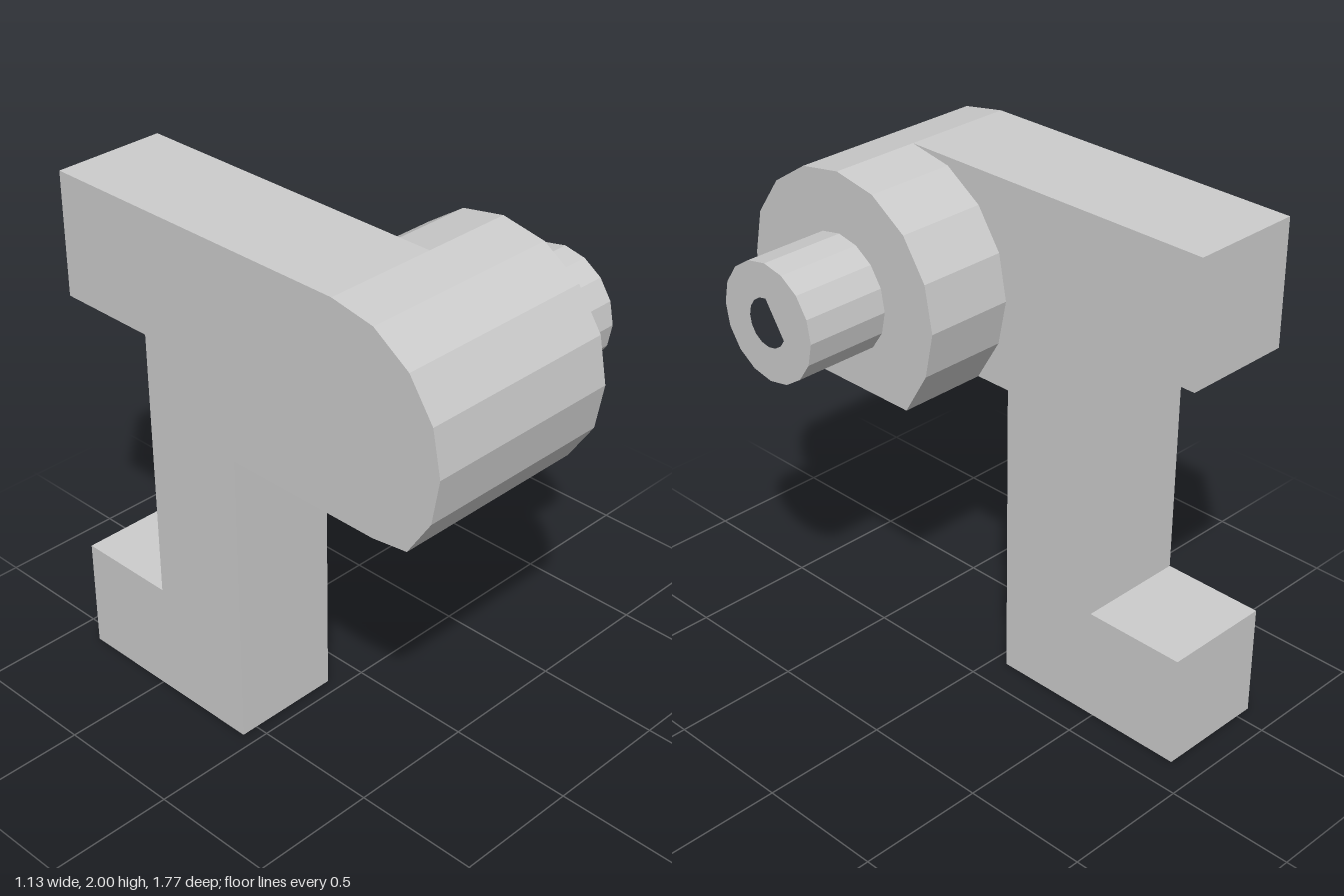
import * as THREE from 'three';

export function createModel() {
  const model = new THREE.Group();
  const grey = new THREE.MeshStandardMaterial({ color: 0xcccccc });
  grey.name = 'plain grey';

  const axisZ = 0.424, axisY = 1.546;

  // Outlines are given as [z, y]; the shape is swept along x from x0 to x1.
  const toPoints = (outline) => outline.map(([z, y]) => new THREE.Vector2(-z, y));
  function addPart(name, outline, x0, x1, hole) {
    const shape = new THREE.Shape(toPoints(outline));
    if (hole) shape.holes.push(new THREE.Path(toPoints(hole)));
    const geometry = new THREE.ExtrudeGeometry(shape, { depth: x1 - x0, bevelEnabled: false });
    geometry.rotateY(Math.PI / 2);
    geometry.translate(x0, 0, 0);
    const mesh = new THREE.Mesh(geometry, grey);
    mesh.name = name;
    model.add(mesh);
  }

  // Sixteen-sided ring around the pin axis
  const ring = (radius) => Array.from({ length: 16 }, (_, i) => {
    const a = (i / 16) * Math.PI * 2;
    return [axisZ + radius * Math.cos(a), axisY + radius * Math.sin(a)];
  });

  // Rounded nose, from its flat underside forward and up to the top
  const nose = [
    [0.60, 1.2], [0.75, 1.22], [0.85, 1.37], [0.883, 1.546],
    [0.85, 1.72], [0.75, 1.868], [0.60, 1.968], [0.424, 2],
  ];

  // Bracket with two rear feet, a post and the nose
  addPart('bracket', [
    ...nose,
    [-0.883, 2], [-0.883, 1.52], [-0.478, 1.52], [-0.474, 0.445],
    [-0.883, 0.445], [-0.883, 0], [-0.055, 0], [-0.048, 1.2],
  ], -0.565, -0.126);

  // Wide boss beside the bracket, flat underneath
  addPart('boss', [
    ...nose,
    [0.25, 1.968], [0.10, 1.868], [0, 1.72], [-0.035, 1.546], [0, 1.37], [0.10, 1.2],
  ], -0.126, 0.228);

  // Pin with a blind bore that ends at the boss
  addPart('pin', ring(0.224), 0.228, 0.563, ring(0.092));

  return model;
}
